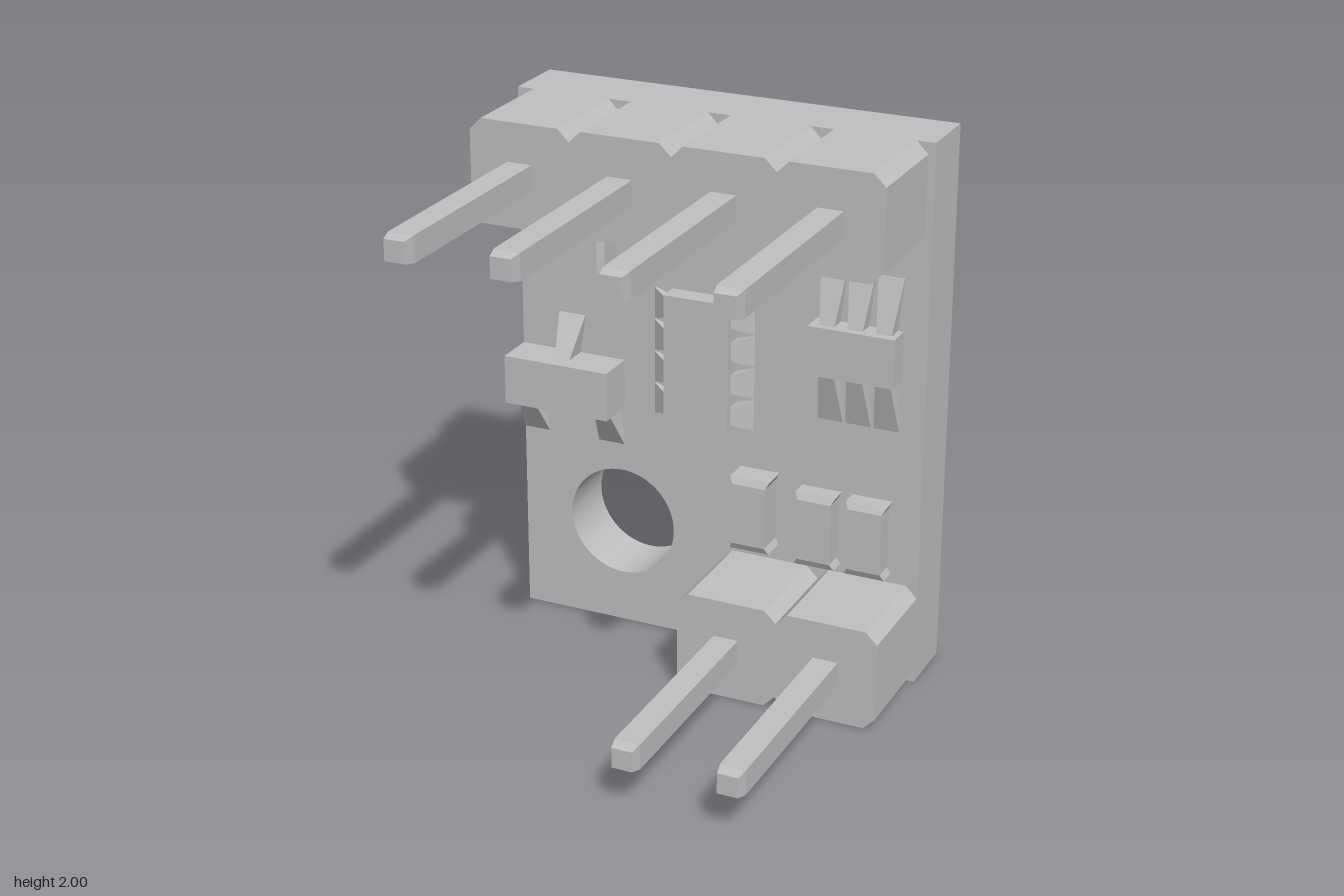
import * as THREE from 'three';

const BOARD_FRONT = -0.39, BOARD_BACK = -0.63;

export function createModel() {
  const model = new THREE.Group();
  const grey = new THREE.MeshStandardMaterial({ color: 0xc0c0c0 });
  grey.name = 'plain grey';

  const add = (name, geometry, parent = model) => {
    const mesh = new THREE.Mesh(geometry, grey);
    mesh.name = name;
    parent.add(mesh);
    return mesh;
  };
  const box = (name, x0, x1, y0, y1, z0, z1) => add(name,
    new THREE.BoxGeometry(x1 - x0, y1 - y0, z1 - z0)
      .translate((x0 + x1) / 2, (y0 + y1) / 2, (z0 + z1) / 2));

  // Moves the corners of a unit box by a rule
  const shapedBox = (rule) => {
    const g = new THREE.BoxGeometry(1, 1, 1);
    const p = g.attributes.position;
    for (let i = 0; i < p.count; i++) p.setXYZ(i, ...rule(p.getX(i), p.getY(i), p.getZ(i)));
    const flat = g.toNonIndexed();
    flat.computeVertexNormals();
    return flat;
  };

  const rect = (x0, x1, y0, y1) => new THREE.Shape([
    new THREE.Vector2(x0, y0), new THREE.Vector2(x1, y0),
    new THREE.Vector2(x1, y1), new THREE.Vector2(x0, y1)]);
  const drill = (shape, x, y, r) => shape.holes.push(new THREE.Path().absarc(x, y, r, 0, Math.PI * 2, true));
  const extrude = (shape, z0, z1) => new THREE.ExtrudeGeometry(shape,
    { depth: z1 - z0, bevelEnabled: false, curveSegments: 32 }).translate(0, 0, z0);

  // Circuit board with mounting hole
  const board = rect(-0.772, 0.772, 0, 2);
  drill(board, -0.378, 0.402, 0.207);
  add('board', extrude(board, BOARD_BACK, BOARD_FRONT));

  // Pin headers: notched housing and square pins with tapered tips
  const header = (name, x0, y0, count) => {
    const group = new THREE.Group();
    group.name = name;
    model.add(group);
    const pitch = 0.3745, h = 0.372, c = 0.042;
    const bottom = [], top = [];
    for (let i = 0; i < count; i++) {
      const a = x0 + i * pitch, b = a + pitch;
      bottom.push([a, y0 + c], [a + c, y0], [b - c, y0]);
      top.push([a, y0 + h - c], [a + c, y0 + h], [b - c, y0 + h]);
    }
    const end = x0 + count * pitch;
    bottom.push([end, y0 + c]);
    top.push([end, y0 + h - c]);
    const outline = [...bottom, ...top.reverse()].map(([x, y]) => new THREE.Vector2(x, y));
    add('headerHousing', extrude(new THREE.Shape(outline), BOARD_FRONT, -0.005), group);
    for (let i = 0; i < count; i++) {
      const x = x0 + (i + 0.5) * pitch, y = y0 + h / 2;
      const shaft = new THREE.BoxGeometry(0.092, 0.092, 1.595);
      add('pinShaft', shaft.translate(x, y, -0.0205), group);
      add('pinTip', shapedBox((u, v, w) => {
        const s = w > 0 ? 0.074 : 0.092;
        return [x + u * s, y + v * s, 0.7975 + w * 0.045];
      }), group);
    }
  };
  header('topHeader', -0.751, 1.628, 4);
  header('bottomHeader', 0.021, 0.002, 2);

  // Small chip components: body with slanted end caps
  const chip = (name, cx, cy, length, width, height, turned) => {
    const group = new THREE.Group();
    group.name = name;
    group.position.set(cx, cy, BOARD_FRONT);
    if (turned) group.rotation.z = Math.PI / 2;
    model.add(group);
    add('chipBody', new THREE.BoxGeometry(length - 0.05, width - 0.015, height)
      .translate(0, 0, height / 2), group);
    for (const side of [-1, 1]) {
      add('chipEndCap', shapedBox((u, v, w) => {
        const outer = u * side > 0;
        const x = side * (length / 2 - (outer ? 0 : 0.025));
        return [x, v * (outer ? width + 0.01 : width - 0.015),
          w < 0 ? 0 : height - (outer ? 0.012 : 0)];
      }), group);
    }
  };
  chip('upperChip', -0.534, 1.465, 0.28, 0.145, 0.105, false);
  chip('lowerChipA', 0.167, 0.575, 0.28, 0.14, 0.105, true);
  chip('lowerChipB', 0.404, 0.548, 0.28, 0.14, 0.075, true);
  chip('lowerChipC', 0.594, 0.548, 0.28, 0.14, 0.075, true);

  // Wedge lead running outward from a package, widening down to the board
  const lead = (x, y, angle, length, inner, outer, height) => {
    const mesh = add('lead', shapedBox((u, v, w) => [
      u * (v > 0 ? outer : inner),
      (v + 0.5) * length,
      w < 0 ? 0 : (v > 0 ? 0.006 : height)]));
    mesh.position.set(x, y, BOARD_FRONT);
    mesh.rotation.z = angle;
  };

  // Three-legged transistor
  box('transistorBody', -0.772, -0.365, 0.86, 1.042, BOARD_FRONT, -0.242);
  lead(-0.57, 1.042, 0, 0.145, 0.058, 0.104, 0.09);
  for (const x of [-0.72, -0.416]) lead(x, 0.86, Math.PI, 0.145, 0.06, 0.102, 0.09);

  // Central integrated circuit
  box('circuitBody', -0.176, 0.07, 0.86, 1.345, BOARD_FRONT, -0.315);
  for (const y of [1.284, 1.163, 1.041, 0.92]) {
    lead(-0.176, y, Math.PI / 2, 0.066, 0.07, 0.116, 0.048);
    lead(0.07, y, -Math.PI / 2, 0.072, 0.07, 0.116, 0.048);
  }

  // Six-legged regulator
  box('regulatorBody', 0.37, 0.685, 1.146, 1.325, BOARD_FRONT, -0.302);
  for (const x of [0.43, 0.533, 0.637]) {
    lead(x, 1.325, 0, 0.19, 0.055, 0.094, 0.06);
    lead(x, 1.146, Math.PI, 0.19, 0.055, 0.094, 0.06);
  }

  // Rear sensor with two small recesses
  const cover = rect(0.048, 0.697, 0.407, 0.765);
  drill(cover, 0.23, 0.56, 0.028);
  drill(cover, 0.61, 0.585, 0.012);
  add('sensorCover', extrude(cover, -0.79, -0.75));
  box('sensorBody', 0.048, 0.697, 0.407, 0.765, -0.75, BOARD_BACK);

  // Small rear component, slightly tapered
  add('rearChip', shapedBox((u, v, w) => [
    -0.09 + u * (w < 0 ? 0.094 : 0.108), 0.73 + v * 0.1, w < 0 ? -0.722 : BOARD_BACK]));

  return model;
}
